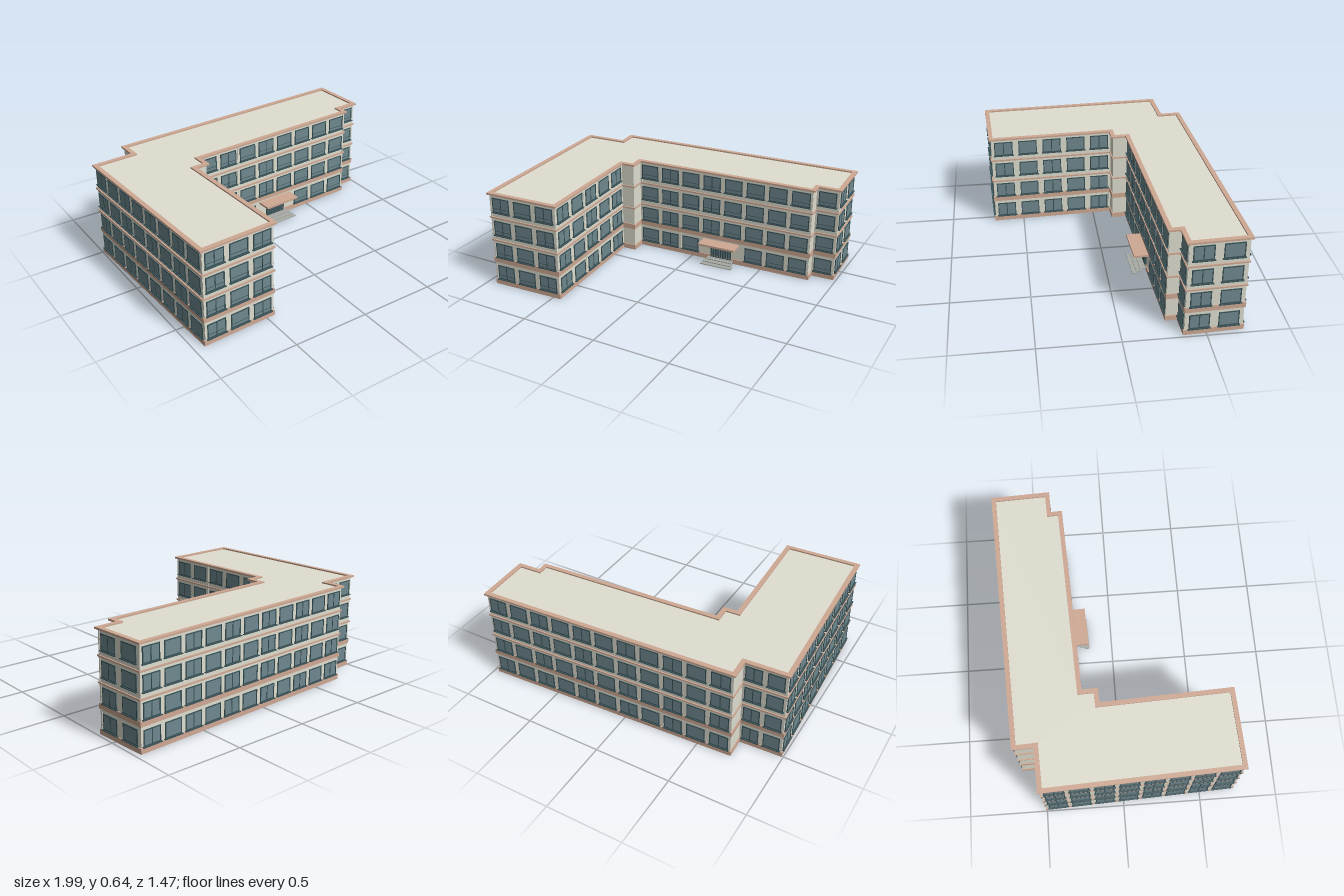
import * as THREE from 'three';
import { mergeGeometries } from 'three/addons/utils/BufferGeometryUtils.js';

const mat = (name, color) => {
  const m = new THREE.MeshStandardMaterial({ color });
  m.name = name;
  return m;
};

// Footprint of the walls as [x, z], counterclockwise seen from above
const PLAN = [
  [-0.962, -0.544], [-0.962, 0.676], [-0.482, 0.676], [-0.482, -0.15],
  [-0.39, -0.15], [-0.39, -0.249], [0.845, -0.249], [0.845, -0.321],
  [0.994, -0.321], [0.994, -0.676], [-0.688, -0.676], [-0.688, -0.544],
];
const N = PLAN.length;

// Direction, outward normal and length of each wall
const EDGES = PLAN.map(([x, z], i) => {
  const [x2, z2] = PLAN[(i + 1) % N];
  const len = Math.hypot(x2 - x, z2 - z);
  const dx = (x2 - x) / len, dz = (z2 - z) / len;
  return { x, z, len, dx, dz, nx: -dz, nz: dx };
});

// Number of windows on each wall
const COUNTS = [8, 3, 5, 0, 0, 8, 0, 1, 2, 11, 0, 2];
const FLOORS = [0.04, 0.198, 0.355, 0.513];
const WINDOW_HEIGHT = 0.098;

function offsetPlan(d) {
  return PLAN.map(([x, z], i) => {
    const a = EDGES[(i + N - 1) % N], b = EDGES[i];
    return new THREE.Vector2(x + d * (a.nx + b.nx), -(z + d * (a.nz + b.nz)));
  });
}

// Slab following the footprint, optionally hollow
function slab(y0, y1, out, inner) {
  const shape = new THREE.Shape(offsetPlan(out));
  if (inner !== undefined) shape.holes.push(new THREE.Path(offsetPlan(inner).reverse()));
  const g = new THREE.ExtrudeGeometry(shape, { depth: y1 - y0, bevelEnabled: false });
  return g.rotateX(-Math.PI / 2).translate(0, y0, 0);
}

const box = (w, h, d, x, y, z) => new THREE.BoxGeometry(w, h, d).translate(x, y, z);

// Move geometry from wall space (x along, z outward) onto a wall
function onWall(g, e, t) {
  return g.rotateY(Math.atan2(e.nx, e.nz)).translate(e.x + e.dx * t, 0, e.z + e.dz * t);
}

export function createModel() {
  const model = new THREE.Group();
  model.name = 'officeBuilding';
  const building = new THREE.Group();
  building.name = 'building';
  building.rotation.y = 0.045;
  model.add(building);

  const wall = mat('wall plaster', 0xdfded0);
  const trim = mat('terracotta trim', 0xcfa994);
  const glass = mat('window glass', 0x6f898f);
  const frame = mat('dark frame', 0x3a5358);
  const stone = mat('step stone', 0xa9aca6);

  const add = (name, geos, material) => {
    const m = new THREE.Mesh(geos.length > 1 ? mergeGeometries(geos) : geos[0], material);
    m.name = name;
    building.add(m);
  };

  // Walls with the flat roof
  add('walls', [slab(0, 0.632, 0)], wall);

  // Plinth, floor bands and parapet
  add('plinth', [slab(0.002, 0.036, 0.006, -0.004)], trim);
  add('floorBand', [slab(0.16, 0.194, 0.006, -0.004)], trim);
  add('mouldings', [0.312, 0.471].map((y) => slab(y, y + 0.01, 0.008, -0.004)), trim);
  add('parapet', [slab(0.629, 0.641, 0.014, -0.015)], trim);

  // Windows on every wall and floor
  const panes = [], bars = [], sills = [];
  EDGES.forEach((e, i) => {
    const n = COUNTS[i];
    const pitch = e.len / Math.max(n, 1);
    const w = Math.min(0.125, pitch - 0.031);
    const h = WINDOW_HEIGHT;
    for (let k = 0; k < n; k++) {
      const t = (k + 0.5) * pitch;
      const split = i === 5 ? k === 1 || k === 3 : n > 1 && k % 2 === 0;
      FLOORS.forEach((y, floor) => {
        if (i === 5 && floor === 0 && (k === 3 || k === 4)) return; // entrance
        const c = y + h / 2;
        panes.push(onWall(box(w, h, 0.004, 0, c, 0), e, t));
        const parts = [
          box(w, 0.006, 0.008, 0, y + h - 0.003, 0.001),
          box(w, 0.006, 0.008, 0, y + 0.003, 0.001),
          box(0.006, h, 0.008, -w / 2 + 0.003, c, 0.001),
          box(0.006, h, 0.008, w / 2 - 0.003, c, 0.001),
        ];
        if (split) parts.push(box(0.006, h, 0.006, 0, c, 0.001));
        if (e.nz > 0.5) parts.push(box(w, 0.003, 0.006, 0, y + h * 0.27, 0.0005));
        parts.forEach((p) => bars.push(onWall(p, e, t)));
        sills.push(onWall(box(w + 0.012, 0.005, 0.018, 0, y - 0.002, 0.004), e, t));
      });
    }
  });
  add('windowGlass', panes, glass);
  add('windowFrames', bars, frame);
  add('windowSills', sills, frame);

  // Shallow pilaster strips beside corners and along the long walls
  const strips = [[1, 0.006], [2, 0.33], [2, 0.82], [5, 0.012], [5, 0.309], [5, 1.228], [8, 0.008]];
  add('pilasterStrips', strips.map(([i, t]) => onWall(box(0.011, 0.628, 0.006, 0, 0.315, 0), EDGES[i], t)), wall);

  // Entrance: glazed door, canopy and steps
  const dx = 0.225, dz = -0.249;
  add('entranceGlass', [box(0.15, 0.11, 0.012, dx, 0.079, dz)], glass);
  const doorBars = [box(0.15, 0.006, 0.018, dx, 0.131, dz), box(0.15, 0.006, 0.018, dx, 0.027, dz)];
  for (let k = 0; k <= 8; k++) {
    doorBars.push(box(0.009, 0.11, 0.018, dx + (k / 8 - 0.5) * 0.141, 0.079, dz));
  }
  add('entranceFrame', doorBars, frame);
  add('canopy', [box(0.262, 0.014, 0.1, dx, 0.142, dz + 0.045)], trim);
  const steps = [0, 1, 2].map((k) =>
    box(0.226 - k * 0.02, 0.006, 0.036, dx, 0.004 + k * 0.008, dz + 0.082 - k * 0.027));
  steps.push(box(0.186, 0.006, 0.022, dx, 0.022, dz + 0.011));
  add('entranceSteps', steps, stone);

  return model;
}
